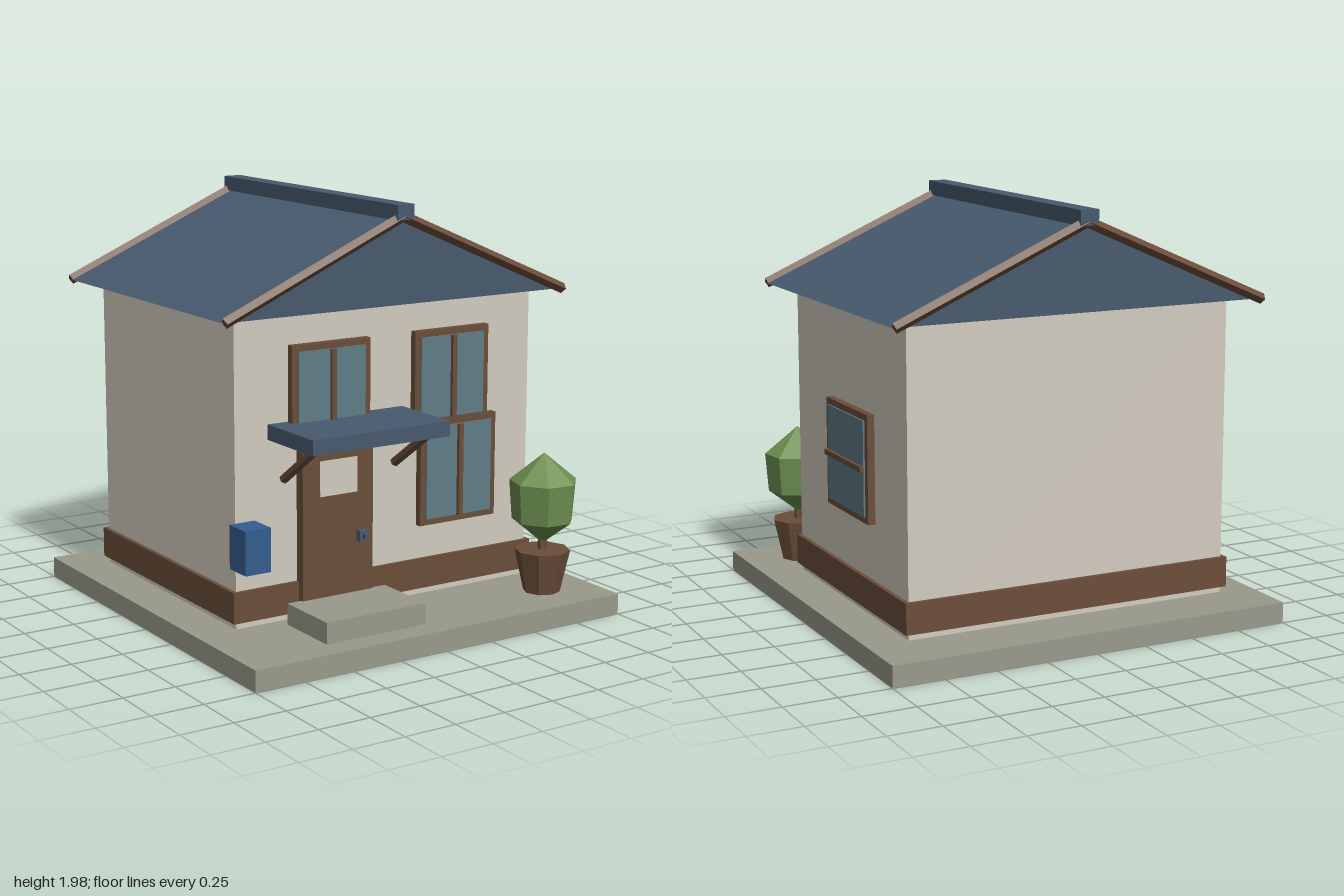
import * as THREE from 'three';

const mat = (name, color) => {
  const m = new THREE.MeshStandardMaterial({ color });
  m.name = name;
  return m;
};

export function createModel() {
  const house = new THREE.Group();
  house.name = 'house';
  const plaster = mat('plaster', 0xd2ccbf);
  const wood = mat('brownWood', 0x6b4e3a);
  const slate = mat('slateBlue', 0x475a6e);
  const glass = mat('glass', 0x607c86);
  const stone = mat('stone', 0x9a9a8b);
  const blue = mat('mailboxBlue', 0x345e8e);
  const leaf = mat('leafGreen', 0x6c8f50);

  const add = (name, geo, material, parent = house) => {
    const m = new THREE.Mesh(geo, material);
    m.name = name;
    parent.add(m);
    return m;
  };
  // Box given by its extents on each axis
  const box = (name, material, [x0, x1], [y0, y1], [z0, z1], parent) => {
    const m = add(name, new THREE.BoxGeometry(x1 - x0, y1 - y0, z1 - z0), material, parent);
    m.position.set((x0 + x1) / 2, (y0 + y1) / 2, (z0 + z1) / 2);
    return m;
  };
  const flat = (geo) => {
    const g = geo.index ? geo.toNonIndexed() : geo;
    g.computeVertexNormals();
    return g;
  };
  // Faceted bar between two points
  const bar = (name, a, b, radius, sides, material) => {
    const p = new THREE.Vector3(...a), q = new THREE.Vector3(...b);
    const dir = q.clone().sub(p);
    const m = add(name, flat(new THREE.CylinderGeometry(radius, radius, dir.length(), sides)), material);
    m.position.copy(p).add(q).multiplyScalar(0.5);
    m.quaternion.setFromUnitVectors(new THREE.Vector3(0, 1, 0), dir.normalize());
    return m;
  };

  // Ground slab, walls, skirting and step
  box('groundSlab', stone, [-1, 1], [0, 0.1], [-1, 1]);
  box('walls', plaster, [-0.81, 0.81], [0.11, 1.53], [-0.75, 0.51]);
  box('skirting', wood, [-0.83, 0.83], [0.14, 0.285], [-0.77, 0.527]);
  box('step', stone, [-0.565, -0.035], [0.1, 0.2], [0.55, 0.88]);

  // Gable roof
  const gable = new THREE.Shape([
    new THREE.Vector2(-0.925, 1.525), new THREE.Vector2(0.925, 1.525), new THREE.Vector2(0, 1.925),
  ]);
  const roof = add('roof', new THREE.ExtrudeGeometry(gable, { depth: 1.485, bevelEnabled: false }), slate);
  roof.position.z = -0.865;
  box('ridgeCap', slate, [-0.045, 0.045], [1.91, 1.98], [-0.9, 0.65]);

  // Diamond-section verge boards along both gables
  for (const z of [-0.878, 0.628]) {
    for (const s of [-1, 1]) {
      bar('vergeBoard', [0, 1.925, z], [s * 0.92, 1.525, z], 0.025, 4, wood);
    }
  }

  // Window facing +z, centred on its own origin
  const makeWindow = (name, w, h, horizontalBar) => {
    const g = new THREE.Group();
    g.name = name;
    const x = w / 2, y = h / 2, b = 0.03, t = 0.0125;
    box('windowFrame', wood, [-x, x], [-y, y], [0, 0.035], g);
    box('windowGlass', glass, [b - x, x - b], [b - y, y - b], [0.035, 0.043], g);
    if (horizontalBar) box('windowBar', wood, [b - x, x - b], [-t, t], [0.04, 0.06], g);
    else box('windowBar', wood, [-t, t], [b - y, y - b], [0.04, 0.06], g);
    house.add(g);
    return g;
  };
  makeWindow('upperRightWindow', 0.415, 0.445).position.set(-0.335, 1.158, 0.525);
  makeWindow('upperLeftWindow', 0.415, 0.445).position.set(0.328, 1.158, 0.525);
  makeWindow('lowerWindow', 0.43, 0.5).position.set(0.37, 0.705, 0.526);
  const side = makeWindow('sideWindow', 0.475, 0.505, true);
  side.position.set(0.815, 0.808, -0.172);
  side.rotation.y = Math.PI / 2;

  // Front door
  box('door', wood, [-0.49, -0.112], [0.11, 0.89], [0.5, 0.562]);
  box('doorPane', plaster, [-0.4, -0.2], [0.675, 0.84], [0.56, 0.566]);
  box('doorLatch', slate, [-0.2, -0.155], [0.443, 0.493], [0.56, 0.59]);
  box('doorKnob', slate, [-0.185, -0.165], [0.455, 0.48], [0.59, 0.612]);

  // Canopy and its diagonal brackets
  box('canopy', slate, [-0.64, 0.083], [0.96, 1.03], [0.51, 0.887]);
  for (const x of [-0.568, 0.03]) {
    bar('canopyBracket', [x, 0.98, 0.825], [x, 0.776, 0.53], 0.023, 6, wood);
  }

  box('mailbox', blue, [-0.84, -0.71], [0.397, 0.6], [0.51, 0.65]);

  // Potted shrub
  const plant = new THREE.Group();
  plant.name = 'pottedShrub';
  plant.position.set(0.73, 0, 0.755);
  house.add(plant);
  add('pot', flat(new THREE.CylinderGeometry(0.133, 0.088, 0.205, 8)), wood, plant).position.y = 0.2025;
  add('trunk', flat(new THREE.CylinderGeometry(0.022, 0.022, 0.1, 6)), wood, plant).position.y = 0.34;
  const profile = [[0, 0.335], [0.148, 0.45], [0.163, 0.64], [0, 0.775]].map((p) => new THREE.Vector2(...p));
  add('foliage', flat(new THREE.LatheGeometry(profile, 7, 0.377)), leaf, plant);

  return house;
}
